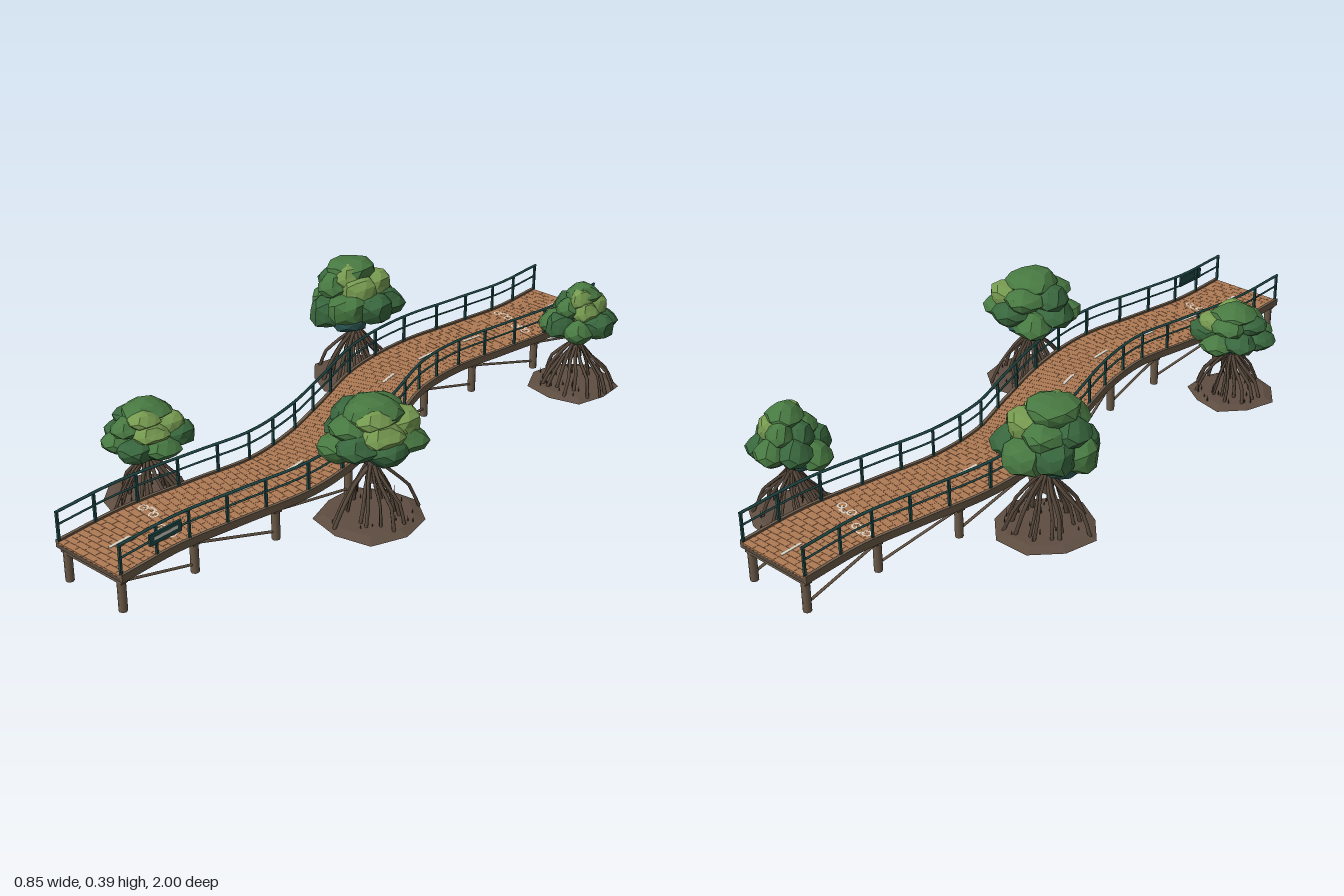
import * as THREE from 'three';
import { mergeGeometries } from 'three/addons/utils/BufferGeometryUtils.js';

const mat = (name, color, extra = {}) => Object.assign(new THREE.MeshStandardMaterial({ color, ...extra }), { name });
const flat = { flatShading: true };
const M = {
  brick: mat('paving brown', 0xaf7a54),
  wood: mat('pier wood', 0x6b5a48),
  bark: mat('dark bark', 0x58493c),
  mud: mat('mud', 0x5e4d41, flat),
  rail: mat('railing teal', 0x1f4a48),
  paint: mat('lane paint', 0xd8d3c6),
  deep: mat('deep blue green', 0x2a5653, flat),
  dark: mat('dark green', 0x38663d, flat),
  mid: mat('leaf green', 0x487942, flat),
  light: mat('light green', 0x769a50, flat),
};

let seed = 7;
const rnd = (a = 0, b = 1) => {
  seed = (seed * 16807) % 2147483647;
  return a + (b - a) * (seed / 2147483647);
};

// Winding centre line of the walkway, evenly spaced in z
const centreX = [0.012, 0.01, -0.025, -0.06, -0.051, 0.011, 0.068, 0.089, 0.054, 0.02, 0.017];
const line = new THREE.CatmullRomCurve3(
  centreX.map((x, i) => new THREE.Vector3(x, 0, -1 + i * 0.2)), false, 'catmullrom', 0.5);

// Maps (sideways offset, height, distance) onto the winding path
function onPath(x, y, z) {
  const t = THREE.MathUtils.clamp((z + 1) / 2, 0, 1);
  const c = line.getPoint(t);
  const d = line.getPoint(Math.min(1, t + 0.005)).sub(line.getPoint(Math.max(0, t - 0.005))).normalize();
  const fade = THREE.MathUtils.clamp((1 - Math.abs(z)) / 0.05, 0, 1); // square ends
  return new THREE.Vector3(c.x + d.z * x, y, z - d.x * x * fade);
}

function bend(geo) {
  const p = geo.attributes.position;
  for (let i = 0; i < p.count; i++) {
    const v = onPath(p.getX(i), p.getY(i), p.getZ(i));
    p.setXYZ(i, v.x, v.y, v.z);
  }
  geo.computeVertexNormals();
  return geo;
}

function add(parent, name, geo, material) {
  const mesh = new THREE.Mesh(geo, material);
  mesh.name = name;
  parent.add(mesh);
  return mesh;
}

const box = (w, h, l, x, y, z, seg = 1) => bend(new THREE.BoxGeometry(w, h, l, 1, 1, seg).translate(x, y, z));

// Straight tapered rod between two points
function rod(a, b, r0, r1 = r0, sides = 6) {
  const d = b.clone().sub(a);
  const q = new THREE.Quaternion().setFromUnitVectors(new THREE.Vector3(0, 1, 0), d.clone().normalize());
  const mid = a.clone().add(b).multiplyScalar(0.5);
  return new THREE.CylinderGeometry(r1, r0, d.length(), sides).applyQuaternion(q).translate(mid.x, mid.y, mid.z);
}

function walkway() {
  const g = new THREE.Group();
  g.name = 'walkway';
  add(g, 'deckSlab', box(0.23, 0.012, 2, 0, 0.101, 0, 80), M.bark);

  // Running-bond paving
  const bricks = [], rows = 100, pitch = 2 / rows, half = 0.112, len = 0.0373;
  for (let r = 0; r < rows; r++) {
    const z = -1 + (r + 0.5) * pitch;
    for (let x = -half - (r % 2) * len / 2; x < half - 0.001; x += len) {
      const a = Math.max(x, -half), b = Math.min(x + len, half);
      bricks.push(box(b - a - 0.0007, 0.005, pitch - 0.0007, (a + b) / 2, 0.109, z));
    }
  }
  add(g, 'paving', mergeGeometries(bricks), M.brick);

  // Edge beams, railings and their posts
  for (const s of [-1, 1]) {
    add(g, 'edgeBeam', box(0.009, 0.022, 2, s * 0.1165, 0.106, 0, 80), M.wood);
    for (const [y, r] of [[0.197, 0.0042], [0.161, 0.003]]) {
      const tube = new THREE.CylinderGeometry(r, r, 2, 6, 80).rotateX(Math.PI / 2).translate(s * 0.113, y, 0);
      add(g, 'handrail', bend(tube), M.rail);
    }
    const posts = [];
    for (let i = 0; i < 18; i++) posts.push(box(0.0065, 0.084, 0.0065, s * 0.113, 0.156, -0.996 + i * 1.992 / 17));
    add(g, 'railPosts', mergeGeometries(posts), M.rail);
  }
  // Board on the left rail with a pale band
  add(g, 'signBoard', box(0.006, 0.032, 0.115, 0.12, 0.169, 0.852), M.rail);
  add(g, 'signBand', box(0.001, 0.009, 0.085, 0.1236, 0.17, 0.852), M.paint);

  // Centre dashes, leaving out the one between the cycle signs
  for (let i = 0; i < 11; i++) {
    if (i !== 1) add(g, 'centreDash', box(0.008, 0.002, 0.066, 0, 0.1118, -0.94 + i * 0.184, 4), M.paint);
  }
  // Painted cycle signs: two rings and a frame
  for (const [cx, cz] of [[-0.062, -0.76], [0.04, -0.735], [-0.06, 0.765], [0.045, 0.785]]) {
    const parts = [-0.022, 0.022].map(dx =>
      new THREE.RingGeometry(0.0095, 0.0135, 14).rotateX(-Math.PI / 2).translate(cx + dx, 0.1125, cz));
    for (const [x, z, a, l] of [[-0.012, -0.008, 0.7, 0.026], [0.012, -0.008, -0.7, 0.026], [0, -0.016, 0, 0.026]]) {
      parts.push(new THREE.PlaneGeometry(l, 0.004).rotateX(-Math.PI / 2).rotateY(a).translate(cx + x, 0.1125, cz + z));
    }
    add(g, 'cycleSign', bend(mergeGeometries(parts)), M.paint);
  }

  // Timber supports with diagonal bracing to the next pair
  const step = 1.97 / 8;
  for (let i = 0; i < 9; i++) {
    const z = 0.985 - i * step;
    add(g, 'crossBeam', box(0.222, 0.014, 0.02, 0, 0.09, z), M.wood);
    for (const s of [-1, 1]) {
      const base = onPath(s * 0.098, 0, z);
      add(g, 'pierLeg', rod(base, onPath(s * 0.098, 0.095, z), 0.0115, 0.0115, 8), M.wood);
      if (i < 8) add(g, 'brace', rod(onPath(s * 0.098, 0.084, z), onPath(s * 0.098, 0.022, z - step), 0.004), M.wood);
    }
  }
  return g;
}

// Faceted, flattened clump of leaves
function puff(rx, ry) {
  const geo = new THREE.IcosahedronGeometry(1, 1), p = geo.attributes.position, k = rnd(0, 6);
  for (let i = 0; i < p.count; i++) {
    const x = p.getX(i), y = p.getY(i), z = p.getZ(i);
    const f = 1 + 0.1 * Math.sin(4 * x + k) * Math.cos(3 * z - k) + 0.07 * Math.sin(5 * y + 2 * k);
    p.setXYZ(i, x * f * rx, Math.max(y * f, -0.75) * ry, z * f * rx);
  }
  geo.computeVertexNormals();
  return geo;
}

function tree({ x, z, low, top, R, mudR, crown, lean }) {
  const g = new THREE.Group();
  g.name = 'mangroveTree';
  g.position.set(x, 0, z);
  const V = (r, y, a) => new THREE.Vector3(r * Math.cos(a), y, r * Math.sin(a));

  // Irregular mud bank
  const mud = new THREE.CylinderGeometry(0.8, 1, 0.009, 9, 1), p = mud.attributes.position;
  const wobble = rnd(0, 6);
  for (let i = 0; i < p.count; i++) {
    const a = Math.atan2(p.getZ(i), p.getX(i));
    const f = mudR * (0.95 + 0.12 * Math.sin(2 * a + wobble) * Math.cos(3 * a));
    p.setXYZ(i, p.getX(i) * f, p.getY(i) + 0.0045, p.getZ(i) * f);
  }
  add(g, 'mudBank', mud, M.mud);

  // Splayed prop roots and breathing roots
  const roots = [], n = 19;
  for (let i = 0; i < n; i++) {
    const a = (i + rnd(-0.3, 0.3)) / n * Math.PI * 2, r = mudR * rnd(0.4, 0.87), y = low - rnd(0, 0.03);
    const path = new THREE.CatmullRomCurve3([
      V(0.006, y, a), V(r * 0.42, y * 0.73, a + 0.08), V(r * 0.8, y * 0.4, a - 0.06), V(r, 0.003, a)],
    false, 'catmullrom', 0.25);
    roots.push(new THREE.TubeGeometry(path, 6, rnd(0.0038, 0.006), 5));
  }
  add(g, 'propRoots', mergeGeometries(roots), M.bark);
  const spikes = [];
  for (let i = 0; i < 22; i++) {
    const a = rnd(0, 6.28), r = mudR * rnd(0.3, 0.8), h = rnd(0.012, 0.028);
    const c = V(r, 0.007 + h / 2, a);
    spikes.push(new THREE.ConeGeometry(0.0025, h, 4).translate(c.x, c.y, c.z));
  }
  add(g, 'breathingRoots', mergeGeometries(spikes), M.bark);

  // Trunk, limbs and crown
  const H = top - low;
  add(g, 'trunk', rod(V(0, low * 0.6, 0), V(0, low + H * 0.5, 0), 0.017, 0.012, 7), M.bark);
  const leaf = (r, y, a, rx, ry, m, dx = 0) => {
    add(g, 'leafClump', puff(rx, ry), m).position.copy(V(r, y, a)).x += dx;
  };
  const turn = rnd(0, 6);
  for (let i = 0; i < 7; i++) {
    const a = turn + i * Math.PI * 2 / 7, y = low + H * rnd(0.22, 0.42);
    leaf(R * 0.6, y, a, R * rnd(0.37, 0.43), H * 0.22, [M.dark, M.mid, M.dark, M.mid][i % 4]);
    if (i % 2) add(g, 'limb', rod(V(0, low - 0.02, 0), V(R * 0.5, y, a), 0.009, 0.005, 5), M.bark);
  }
  for (let i = 0; i < 3; i++) {
    leaf(R * 0.38, low + H * 0.2, turn + 1 + i * Math.PI * 2 / 3, R * 0.36, H * 0.19, M.deep);
  }
  for (let i = 0; i < 5; i++) {
    const a = 0.55 + i * Math.PI * 2 / 5;
    leaf(R * 0.42 * crown, low + H * rnd(0.54, 0.66), a, R * 0.38 * crown, H * 0.2,
      [M.light, M.mid, M.dark, M.mid, M.light][i], lean * 0.5);
  }
  leaf(R * 0.08, top - H * 0.19, turn, R * 0.5 * crown, H * 0.19, M.mid, lean);
  leaf(R * 0.3 * crown, top - H * 0.23, 0.9, R * 0.34 * crown, H * 0.18, M.light, lean);
  return g;
}

export function createModel() {
  const model = new THREE.Group();
  model.name = 'mangroveBoardwalk';
  model.add(walkway());
  const trees = [
    { x: -0.28, z: -0.32, low: 0.172, top: 0.39, R: 0.145, mudR: 0.15, crown: 1, lean: -0.025 },
    { x: 0.28, z: 0.26, low: 0.17, top: 0.353, R: 0.143, mudR: 0.152, crown: 1.1, lean: 0.005 },
    { x: -0.22, z: 0.585, low: 0.148, top: 0.29, R: 0.128, mudR: 0.134, crown: 1, lean: 0 },
    { x: 0.255, z: -0.72, low: 0.155, top: 0.333, R: 0.118, mudR: 0.14, crown: 0.85, lean: 0 },
  ];
  for (const t of trees) model.add(tree(t));
  return model;
}
